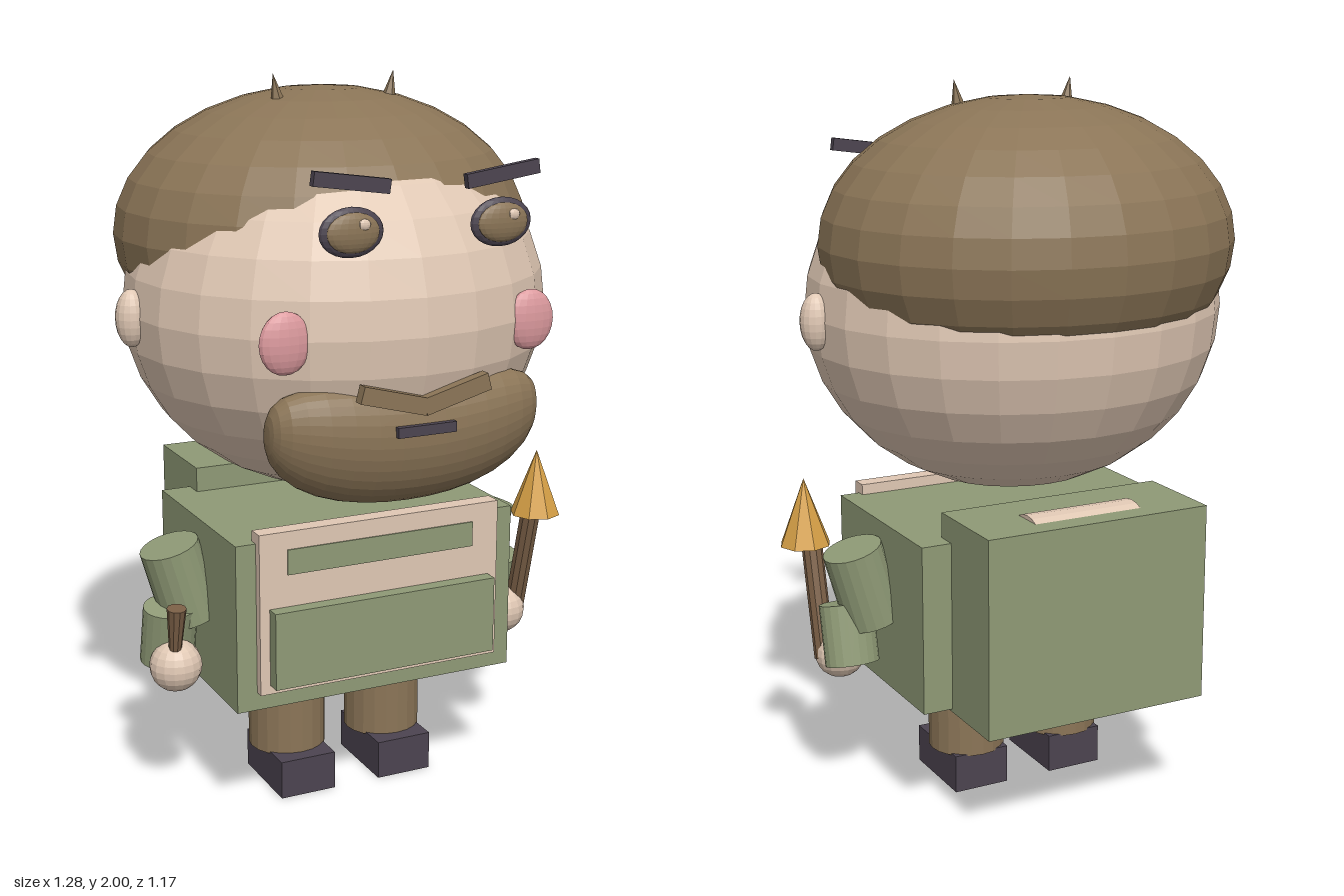
import * as THREE from 'three';

const paint = (name, color) => {
  const m = new THREE.MeshStandardMaterial({ color });
  m.name = name;
  return m;
};

export function createModel() {
  const skin = paint('skin', 0xe0c8b4);
  const brown = paint('brown', 0x8b7557);
  const green = paint('green', 0x8f9a76);
  const dark = paint('dark', 0x4c4450);
  const pink = paint('pink', 0xdc9a9e);
  const gold = paint('gold', 0xd6a046);
  const wood = paint('wood', 0x7a5f46);

  const model = new THREE.Group();
  model.name = 'chibiFigure';
  const body = new THREE.Group();
  body.name = 'figure';
  body.position.x = -0.016;
  model.add(body);

  // Adds a faceted mesh
  function add(name, geometry, material, pos, rot = [0, 0, 0]) {
    const flat = geometry.index ? geometry.toNonIndexed() : geometry;
    flat.computeVertexNormals();
    const mesh = new THREE.Mesh(flat, material);
    mesh.name = name;
    mesh.position.set(...pos);
    mesh.rotation.set(...rot);
    body.add(mesh);
    return mesh;
  }
  const box = (name, mat, size, pos, rot) => add(name, new THREE.BoxGeometry(...size), mat, pos, rot);
  const ball = (name, mat, r, pos, w = 24, h = 16) =>
    add(name, new THREE.SphereGeometry(1, w, h).scale(...r), mat, pos);
  const rod = (name, mat, rTop, rBottom, h, pos, rot, n = 20) =>
    add(name, new THREE.CylinderGeometry(rTop, rBottom, h, n), mat, pos, rot);

  // Head and hair
  ball('head', skin, [0.582, 0.507, 0.55], [0, 1.386, 0.019]);
  ball('hair', brown, [0.575, 0.387, 0.523], [0, 1.575, -0.066]);

  // Beard: a fat bean, bent upward and backward at its ends
  const beard = new THREE.SphereGeometry(1, 32, 20);
  beard.rotateZ(Math.PI / 2);
  const p = beard.attributes.position;
  for (let i = 0; i < p.count; i++) {
    const x = p.getX(i), y = p.getY(i), z = p.getZ(i);
    const s = 1 / Math.cbrt(Math.abs(x) ** 3 + Math.hypot(y, z) ** 3);
    const bx = x * s;
    p.setXYZ(i, bx * 0.383, y * s * 0.163 + 0.05 * bx * bx, z * s * 0.1 - 0.03 * bx * bx);
  }
  add('beard', beard, brown, [0, 1.092, 0.458], [0.2, 0, 0]);
  box('mouth', dark, [0.165, 0.027, 0.02], [0, 1.15, 0.563]);

  // Torso, backpack and bib
  box('torso', green, [0.83, 0.47, 0.555], [0, 0.58, 0.019]);
  box('backpack', green, [0.66, 0.55, 0.275], [0, 0.61, -0.338]);
  rod('bedroll', skin, 0.1, 0.1, 0.32, [0, 0.797, -0.365], [0, 0, Math.PI / 2], 24);
  box('bib', skin, [0.716, 0.45, 0.05], [0, 0.62, 0.296]);
  box('pocket', green, [0.66, 0.215, 0.045], [0, 0.528, 0.338]);
  box('bibStripe', green, [0.556, 0.07, 0.006], [0, 0.76, 0.322]);

  for (const s of [-1, 1]) {
    const side = s > 0 ? 'left' : 'right';
    // Face
    ball(side + 'Ear', skin, [0.043, 0.077, 0.042], [s * 0.585, 1.385, 0.019], 16, 12);
    ball(side + 'Cheek', pink, [0.07, 0.08, 0.027], [s * 0.348, 1.385, 0.475], 16, 12);
    ball(side + 'EyeRim', dark, [0.087, 0.062, 0.02], [s * 0.207, 1.66, 0.554], 20, 12);
    ball(side + 'Iris', brown, [0.072, 0.05, 0.019], [s * 0.207, 1.66, 0.563], 20, 12);
    ball(side + 'EyeGlint', skin, [0.017, 0.014, 0.008], [s * 0.207 + 0.024, 1.68, 0.577], 10, 8);
    box(side + 'Eyebrow', dark, [0.206, 0.036, 0.02], [s * 0.208, 1.78, 0.554], [0, 0, s * 0.14]);
    box(side + 'Moustache', brown, [0.19, 0.045, 0.03], [s * 0.088, 1.232, 0.552], [0, 0, s * 0.26]);

    // Small tufts of hair
    add(side + 'TopTuft', new THREE.ConeGeometry(0.026, 0.1, 6), brown,
      [s * 0.168, 1.952, 0.019], [0, 0, -s * 0.18]);
    add(side + 'FrontTuft', new THREE.ConeGeometry(0.012, 0.03, 6), brown,
      [s * 0.19, 1.64, 0.465], [0.8, 0, 0]);

    // Arms
    rod(side + 'UpperArm', green, 0.083, 0.083, 0.22, [s * 0.468, 0.64, 0.019], [0, 0, -s * 0.28]);
    add(side + 'Forearm', new THREE.CylinderGeometry(1, 1, 0.17, 20).scale(0.077, 1, 0.063), green,
      [s * 0.508, 0.5, 0.03], [0.23, 0, 0]);
    ball(side + 'Hand', skin, [0.073, 0.073, 0.07], [s * 0.512, 0.425, 0.09], 16, 12);

    // Legs and boots
    rod(side + 'Leg', brown, 0.11, 0.11, 0.26, [s * 0.152, 0.235, 0.021]);
    box(side + 'Boot', dark, [0.165, 0.11, 0.25], [s * 0.152, 0.055, 0.047]);
  }

  // Spear in the left hand, short peg in the right
  rod('spearShaft', wood, 0.029, 0.029, 0.34, [0.558, 0.58, 0.132], [0.24, 0, 0], 10);
  add('spearHead', new THREE.ConeGeometry(0.072, 0.19, 8), gold, [0.58, 0.827, 0.16]);
  rod('peg', wood, 0.027, 0.017, 0.13, [-0.522, 0.542, 0.125], [0.15, 0, 0], 10);

  return model;
}
